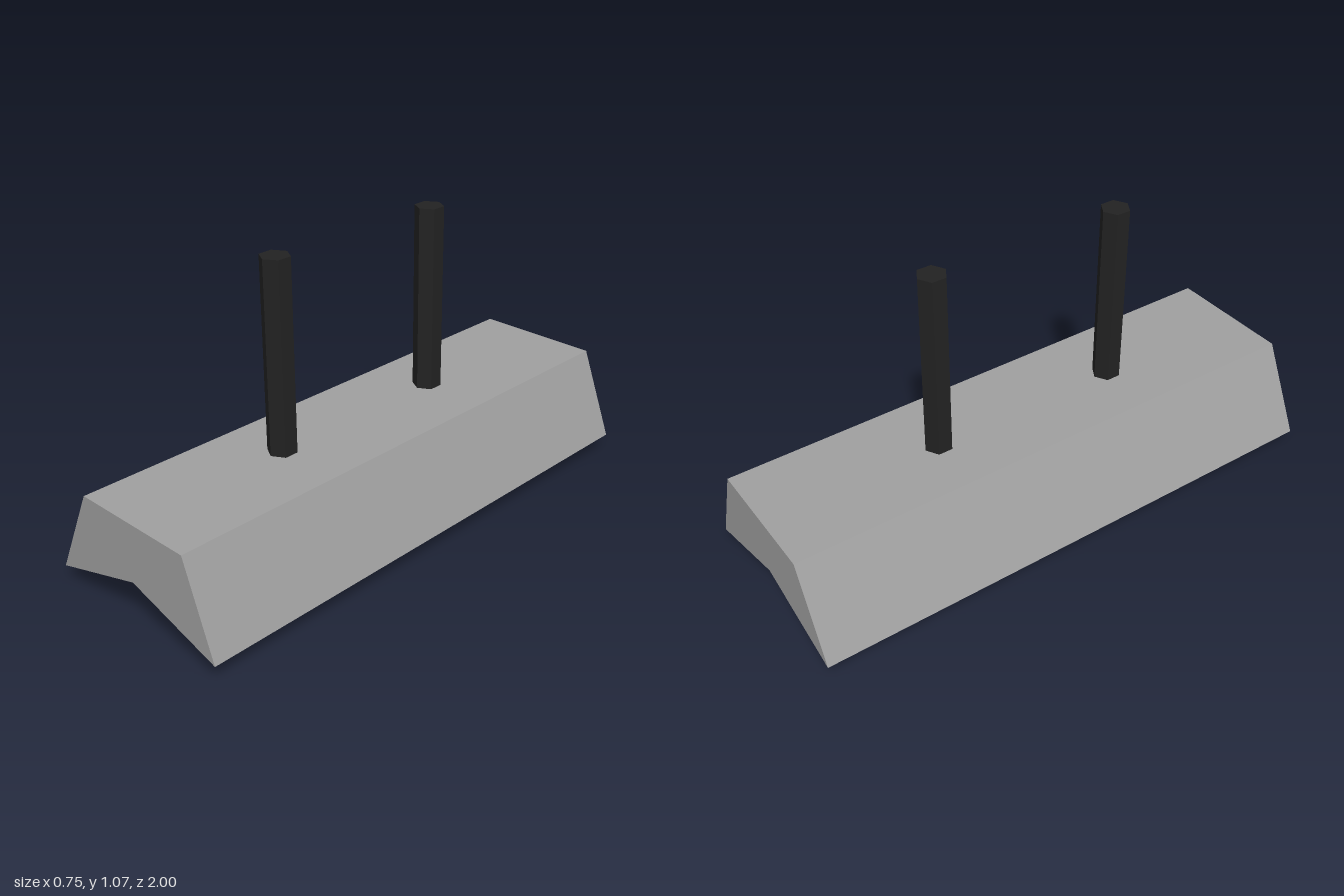
import * as THREE from 'three';

export function createModel() {
  const model = new THREE.Group();
  const grey = new THREE.MeshStandardMaterial({ color: 0xa0a0a0 });
  grey.name = 'grey metal';
  const black = new THREE.MeshStandardMaterial({ color: 0x222222 });
  black.name = 'black rod';

  const add = (name, geometry, material) => {
    const mesh = new THREE.Mesh(geometry, material);
    mesh.name = name;
    model.add(mesh);
    return mesh;
  };

  // Extrudes a cross-section in x and y between two depths
  const prism = (points, zBack, zFront) => {
    const shape = new THREE.Shape(points.map(([x, y]) => new THREE.Vector2(x, y)));
    return new THREE.ExtrudeGeometry(shape, { depth: zFront - zBack, bevelEnabled: false })
      .translate(0, 0, zBack);
  };

  // Lamp housing: slightly lopsided trapezoid with a notched underside
  add('lampHousing', prism([
    [-0.377, 0.063], [0, 0.174], [0.377, 0.063], [0.253, 0.386], [-0.223, 0.386],
  ], -1, 1), grey);

  // Hexagonal light tube set into the notch
  const radius = 0.109;
  const hexagon = Array.from({ length: 6 }, (_, i) => {
    const a = -Math.PI / 2 + i * Math.PI / 3;
    return [radius * Math.cos(a), radius + radius * Math.sin(a)];
  });
  add('lightTube', prism(hexagon, -0.77, 0.8), grey);

  // Hanging rods, leaning very slightly
  const bottom = 0.376, top = 1.065;
  for (const [name, z] of [['frontRod', 0.379], ['backRod', -0.341]]) {
    const geometry = new THREE.CylinderGeometry(0.052, 0.052, top - bottom, 6).toNonIndexed();
    geometry.computeVertexNormals();
    const rod = add(name, geometry, black);
    rod.position.set(-0.0005, (top + bottom) / 2, z);
    rod.rotation.set(0.007, 0, 0.004);
  }

  return model;
}
